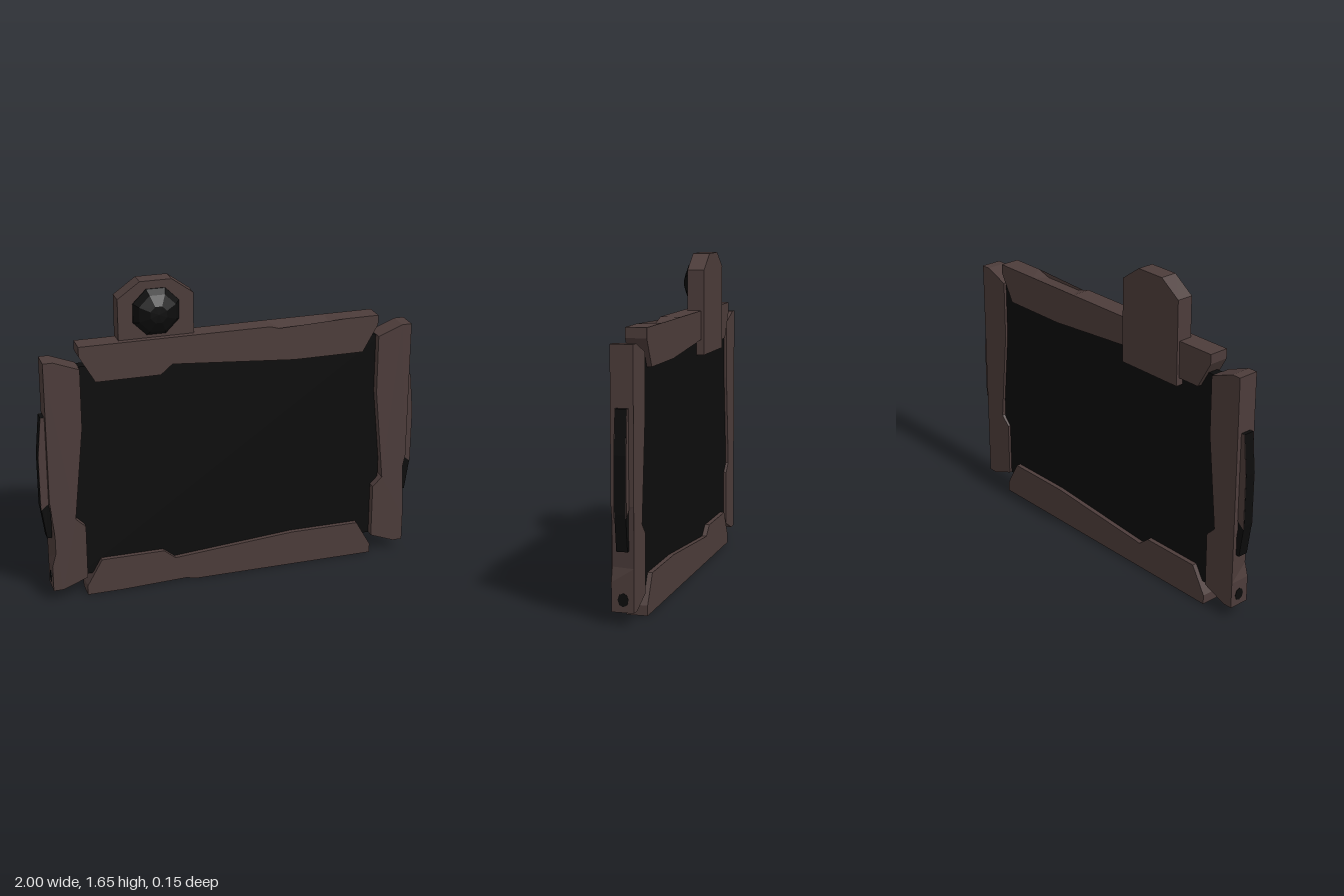
import * as THREE from 'three';

const brown = new THREE.MeshStandardMaterial({ color: 0x4c3c3a });
brown.name = 'dull brown casing';
const black = new THREE.MeshStandardMaterial({ color: 0x0c0c0c });
black.name = 'black glass and rubber';

// Flat outline extruded from z0 to z1; dent(x, y) may shift the front corners.
function slab(name, points, z0, z1, material, dent) {
  const shape = new THREE.Shape(points.map(([x, y]) => new THREE.Vector2(x, y)));
  const geo = new THREE.ExtrudeGeometry(shape, { depth: z1 - z0, bevelEnabled: false });
  geo.translate(0, 0, z0);
  if (dent) {
    const p = geo.attributes.position;
    for (let i = 0; i < p.count; i++) {
      if (p.getZ(i) < z1 - 0.001) continue;
      const [x, y] = dent(p.getX(i), p.getY(i));
      p.setXY(i, x, y);
    }
    geo.computeVertexNormals();
  }
  const mesh = new THREE.Mesh(geo, material);
  mesh.name = name;
  return mesh;
}

export function createModel() {
  const group = new THREE.Group();
  group.name = 'tablet';

  // Screen panel
  const screen = new THREE.Mesh(new THREE.BoxGeometry(1.64, 1.14, 0.056), black);
  screen.name = 'screen';
  screen.position.set(0, 0.68, -0.008);
  group.add(screen);

  // Top and bottom bars: heights measured inward from the outer edge
  const inner = [[0.78, 0.05], [0.7, 0.19], [0.33, 0.19], [-0.31, 0.14],
    [-0.37, 0.19], [-0.7, 0.19], [-0.78, 0.05]];
  const bar = (name, toY, dentXs) => {
    const outer = [[-0.78, 0], ...dentXs.map((x) => [x, 0]), [0.78, 0]];
    const pts = [...outer, ...inner].map(([x, h]) => [x, toY(h)]);
    const dent = (x, y) => {
      const inDent = x > dentXs[0] + 0.01 && x < dentXs[3] - 0.01;
      return [x, inDent && Math.abs(y - toY(0)) < 0.001 ? toY(0.025) : y];
    };
    group.add(slab(name, pts, -0.06, 0.045, brown, dent));
  };
  bar('topBar', (h) => 1.36 - h, [0.2, 0.28, 0.52, 0.6]);
  bar('bottomBar', (h) => h, [-0.6, -0.54, -0.3, -0.2]);

  // Side bars with grips and sockets, mirrored
  const sideOutline = [[0.96, 0.06], [0.96, 0.2], [0.96, 0.27], [0.96, 0.46], [0.96, 0.56],
    [0.96, 1.3], [0.91, 1.3], [0.78, 1.25], [0.78, 0.94], [0.83, 0.45], [0.78, 0.4],
    [0.78, 0.11], [0.91, 0.06]];
  const gripOutline = [[0.95, 0.35], [0.975, 0.35], [1, 0.53], [1, 0.8], [0.98, 1.01], [0.95, 1.01]];
  const gripCap = [[0.95, 0.55], [0.999, 0.51], [0.9995, 0.8], [0.98, 1.01], [0.95, 1.01]];
  for (const [s, side] of [[1, 'left'], [-1, 'right']]) {
    const flip = (pts) => pts.map(([x, y]) => [s * x, y]);
    const dent = (x, y) =>
      [Math.abs(x) > 0.95 && y > 0.25 && y < 0.5 ? x - s * 0.02 : x, y];
    group.add(slab(side + 'Bar', flip(sideOutline), -0.05, 0.06, brown, dent));
    group.add(slab(side + 'Grip', flip(gripOutline), -0.024, 0.03, black));
    group.add(slab(side + 'GripFrontCap', flip(gripCap), 0.03, 0.033, brown));
    group.add(slab(side + 'GripBackCap', flip(gripCap), -0.027, -0.024, brown));

    const socket = new THREE.Mesh(new THREE.CylinderGeometry(0.033, 0.033, 0.008, 8), black);
    socket.name = side + 'Socket';
    socket.rotation.set(0, 0, Math.PI / 2);
    socket.scale.z = 0.8;
    socket.position.set(s * 0.958, 0.12, 0.003);
    group.add(socket);
  }

  // Camera housing with a mounting plate running down behind the top bar
  const housing = [[-0.573, 1.3], [-0.19, 1.3], [-0.19, 1.57], [-0.3, 1.65], [-0.46, 1.65], [-0.573, 1.57]];
  group.add(slab('cameraHousing', housing, -0.075, 0.013, brown));
  const mount = [[-0.573, 1.13], [-0.19, 1.13], [-0.19, 1.3], [-0.573, 1.3]];
  group.add(slab('cameraMount', mount, -0.075, -0.03, brown));

  // Faceted eight-sided lens
  const profile = [[0.126, 0], [0.126, 0.004], [0.1, 0.036], [0.045, 0.06], [0, 0.062]]
    .map(([r, h]) => new THREE.Vector2(r, h));
  const lensGeo = new THREE.LatheGeometry(profile, 8, Math.PI / 8).toNonIndexed();
  lensGeo.computeVertexNormals();
  const lens = new THREE.Mesh(lensGeo, black);
  lens.name = 'cameraLens';
  lens.rotation.x = Math.PI / 2;
  lens.position.set(-0.382, 1.493, 0.013);
  group.add(lens);

  return group;
}
